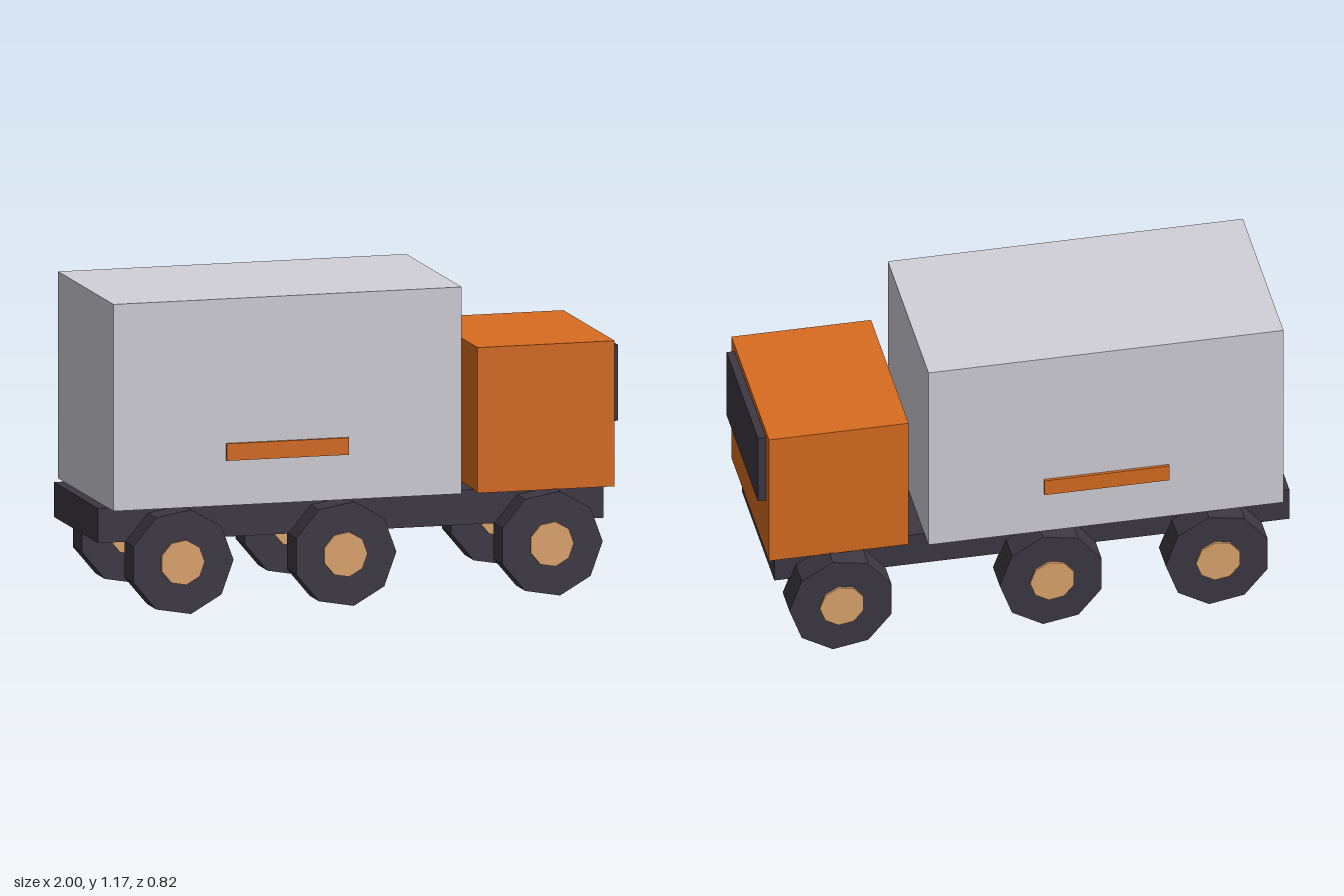
import * as THREE from 'three';

const material = (color) => new THREE.MeshStandardMaterial({ color, flatShading: true });

export function createModel() {
  const truck = new THREE.Group();
  truck.name = 'truck';

  const dark = material(0x3d3843);
  const orange = material(0xd86c20);
  const pale = material(0xd2d1d8);
  const tan = material(0xdfa66e);

  // Box given by its extents along x and y, and its z range
  function addBox(name, mat, [x0, x1], [y0, y1], [z0, z1]) {
    const mesh = new THREE.Mesh(new THREE.BoxGeometry(x1 - x0, y1 - y0, z1 - z0), mat);
    mesh.position.set((x0 + x1) / 2, (y0 + y1) / 2, (z0 + z1) / 2);
    mesh.name = name;
    truck.add(mesh);
  }

  // Body
  addBox('chassis', dark, [-1, 0.94], [0.263, 0.393], [-0.292, 0.292]);
  addBox('cargoBox', pale, [-0.962, 0.375], [0.393, 1.167], [-0.366, 0.366]);
  addBox('cab', orange, [0.444, 0.97], [0.387, 0.932], [-0.339, 0.339]);
  addBox('windshield', dark, [0.965, 1], [0.622, 0.905], [-0.283, 0.283]);

  // Side stripes
  addBox('leftStripe', orange, [-0.53, -0.06], [0.562, 0.626], [0.355, 0.377]);
  addBox('rightStripe', orange, [-0.53, -0.06], [0.562, 0.626], [-0.377, -0.355]);

  // Nine-sided wheels with a corner pointing forward
  const disc = (radius, width) =>
    new THREE.CylinderGeometry(radius, radius, width, 9, 1, false, Math.PI / 2).rotateX(Math.PI / 2);
  const tireGeometry = disc(0.198, 0.122);
  const hubGeometry = disc(0.085, 0.14);

  for (const x of [-0.709, -0.084, 0.708]) {
    for (const side of [-1, 1]) {
      const wheel = new THREE.Group();
      wheel.name = 'wheel';
      const tire = new THREE.Mesh(tireGeometry, dark);
      tire.name = 'tire';
      const hub = new THREE.Mesh(hubGeometry, tan);
      hub.name = 'hub';
      wheel.add(tire, hub);
      wheel.position.set(x, 0.195, side * 0.34);
      truck.add(wheel);
    }
  }

  return truck;
}
